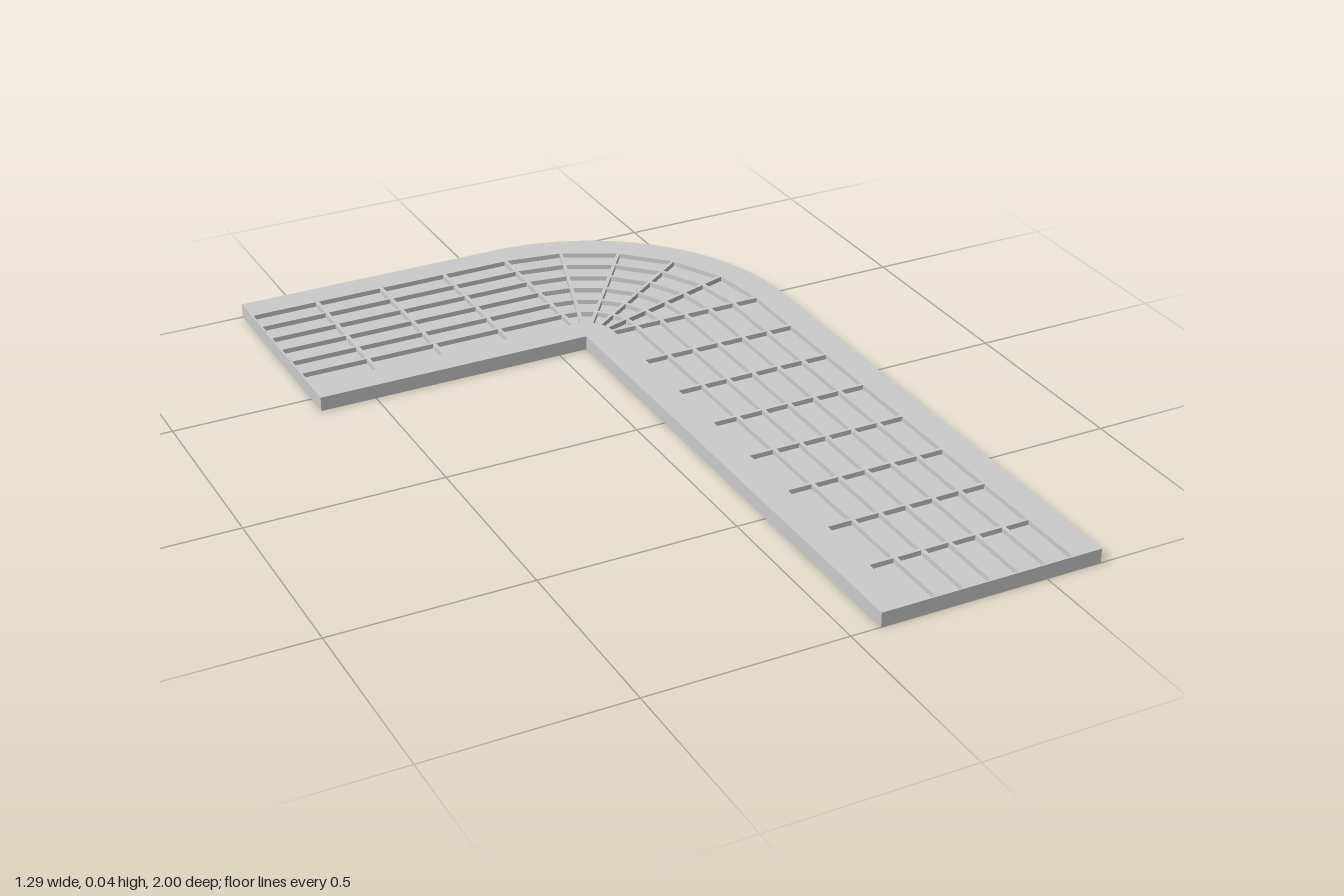
import * as THREE from 'three';

const CX = 0.075, CY = 0.432;       // inner corner, in plan (y of the plan is -z)
const WIDTH = 0.568, HEIGHT = 0.037;
const LONG = 1.432, SHORT = 0.719;  // straight run lengths
const RIM = 0.071, ROWS = 6, PITCH = 0.071, HALF = 0.0045;

const poly = pts => pts.map(([x, y]) => new THREE.Vector2(CX + x, CY + y));

// Corner lists of every cell: two straight runs and a fanned quarter bend
function makeCells() {
  const cells = [];
  for (let i = 0; i < ROWS; i++) {
    const r0 = RIM + i * PITCH + HALF, r1 = RIM + (i + 1) * PITCH - HALF;
    for (let k = 0; k < 8; k++) {
      const s0 = k * LONG / 8 + HALF, s1 = (k + 1) * LONG / 8 - HALF;
      cells.push(poly([[r0, -s1], [r1, -s1], [r1, -s0], [r0, -s0]]));
    }
    for (let k = 0; k < 4; k++) {
      const s0 = k * SHORT / 4 + HALF, s1 = (k + 1) * SHORT / 4 - HALF;
      cells.push(poly([[-s1, r0], [-s0, r0], [-s0, r1], [-s1, r1]]));
    }
    for (let k = 0; k < 5; k++) {
      const a = k * Math.PI / 10, b = (k + 1) * Math.PI / 10;
      const at = (r, t, h) => [r * Math.cos(t) - h * Math.sin(t), r * Math.sin(t) + h * Math.cos(t)];
      cells.push(poly([at(r0, a, HALF), at(r1, a, HALF), at(r1, b, -HALF), at(r0, b, -HALF)]));
    }
  }
  return cells;
}

// Extrude a plan shape upward from height y
function slab(shape, y, depth, name, material) {
  const geo = new THREE.ExtrudeGeometry(shape, { depth, bevelEnabled: false, curveSegments: 32 });
  geo.rotateX(-Math.PI / 2);
  geo.translate(0, y, 0);
  const mesh = new THREE.Mesh(geo, material);
  mesh.name = name;
  return mesh;
}

export function createModel() {
  const group = new THREE.Group();
  group.name = 'cornerPanel';
  const material = new THREE.MeshStandardMaterial({ color: 0xcccccc });
  const cells = makeCells();

  // L-shaped frame with a rounded outer corner, pierced by the cells
  const frame = new THREE.Shape();
  frame.moveTo(CX, CY);
  frame.lineTo(CX, CY - LONG);
  frame.lineTo(CX + WIDTH, CY - LONG);
  frame.lineTo(CX + WIDTH, CY);
  frame.absarc(CX, CY, WIDTH, 0, Math.PI / 2, false);
  frame.lineTo(CX - SHORT, CY + WIDTH);
  frame.lineTo(CX - SHORT, CY);
  frame.closePath();
  for (const c of cells) frame.holes.push(new THREE.Path([...c].reverse()));
  group.add(slab(frame, 0, HEIGHT, 'frame', material));

  // Thin panes set at mid height, recessed from both faces
  const panes = cells.map(c => new THREE.Shape(c));
  group.add(slab(panes, 0.0125, 0.012, 'panes', material));
  return group;
}
